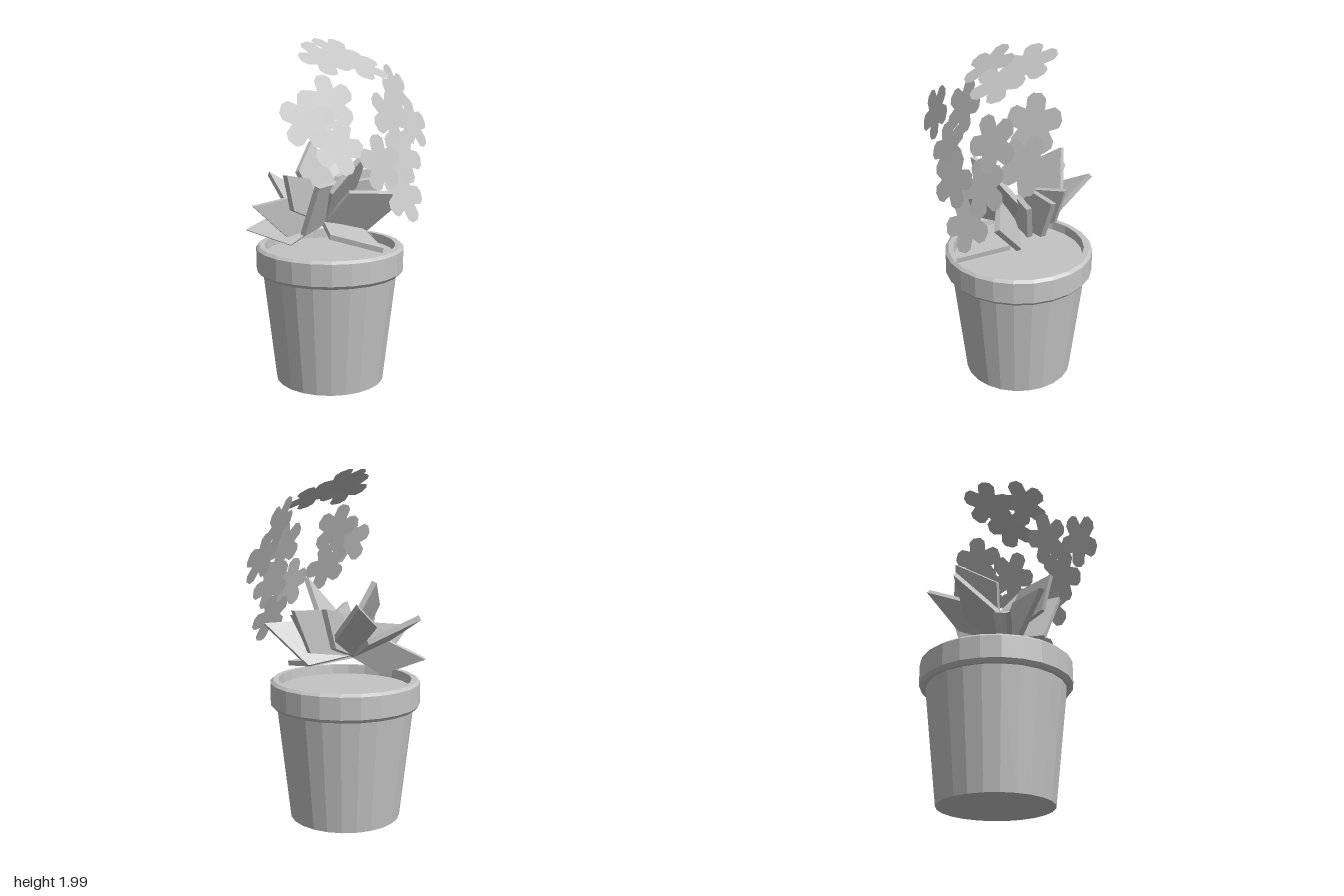
import * as THREE from 'three';

const grey = new THREE.MeshStandardMaterial({ color: 0xc4c4c4, flatShading: true, side: THREE.DoubleSide });
grey.name = 'pale grey';

const CROWN = new THREE.Vector3(-0.02, 0.94, -0.05); // where all leaves meet

function add(parent, geometry, name) {
  const mesh = new THREE.Mesh(geometry, grey);
  mesh.name = name;
  parent.add(mesh);
  return mesh;
}

// Thick kite from the crown to a tip; the second side corner mirrors the first
function leafGeometry(tip, side) {
  const axis = new THREE.Vector3(...tip).sub(CROWN);
  const offset = new THREE.Vector3(...side).sub(CROWN);
  const length = axis.length();
  const dir = axis.normalize();
  const along = offset.dot(dir);
  const across = offset.clone().addScaledVector(dir, -along);
  const half = across.length();
  across.normalize();
  const shape = new THREE.Shape();
  shape.moveTo(0, 0);
  shape.lineTo(along, -half);
  shape.lineTo(length, 0);
  shape.lineTo(along, half);
  shape.closePath();
  const geometry = new THREE.ExtrudeGeometry(shape, { depth: 0.03, bevelEnabled: false });
  geometry.translate(0, 0, -0.015);
  const normal = new THREE.Vector3().crossVectors(dir, across);
  geometry.applyMatrix4(new THREE.Matrix4().makeBasis(dir, across, normal).setPosition(CROWN));
  return geometry;
}

// Flat five-petal outline with blunt petals
function flowerGeometry(radius) {
  const shape = new THREE.Shape();
  const outline = [[-36, 0.6], [-22, 0.92], [-9, 1.03], [9, 1.03], [22, 0.92]];
  for (let p = 0; p < 5; p++) {
    outline.forEach(([deg, r], i) => {
      const a = THREE.MathUtils.degToRad(p * 72 + deg);
      const x = Math.cos(a) * r * radius, y = Math.sin(a) * r * radius;
      if (p === 0 && i === 0) shape.moveTo(x, y);
      else shape.lineTo(x, y);
    });
  }
  shape.closePath();
  return new THREE.ShapeGeometry(shape);
}

export function createModel() {
  const model = new THREE.Group();
  model.name = 'pottedFlowers';

  // Pot with a collar rim and a soil disc
  const pot = new THREE.Group();
  pot.name = 'pot';
  pot.position.set(0.02, 0, -0.032);
  model.add(pot);
  const profile = [[0, 0], [0.32, 0], [0.395, 0.655], [0.415, 0.655], [0.432, 0.675],
    [0.432, 0.8], [0.415, 0.815], [0.383, 0.815], [0.378, 0.76]];
  add(pot, new THREE.LatheGeometry(profile.map(([r, y]) => new THREE.Vector2(r, y)), 24), 'potShell');
  const soil = add(pot, new THREE.CircleGeometry(0.38, 24), 'soil');
  soil.rotation.x = -Math.PI / 2;
  soil.position.y = 0.762;

  // Leaves: tip, then one side corner
  const leaves = new THREE.Group();
  leaves.name = 'leaves';
  model.add(leaves);
  [
    [[-0.06, 1.19, -0.47], [-0.15, 1.03, -0.21]],
    [[-0.345, 0.905, -0.355], [-0.14, 1.03, -0.22]],
    [[-0.44, 1.08, -0.185], [-0.17, 1.12, -0.09]],
    [[-0.365, 1.265, 0], [-0.16, 1.22, -0.03]],
    [[-0.29, 1.21, 0.17], [0, 1.19, 0.05]],
    [[0.28, 1.13, 0.35], [0.02, 1.14, 0.12]],
    [[0.40, 1.24, 0.055], [0.14, 1.22, -0.01]],
    [[0.33, 1.25, -0.1], [0.1, 1.2, -0.05]],
    [[0.315, 1.28, -0.305], [0.04, 1.14, -0.25]],
    [[0.3, 1.2, 0.14], [0.08, 1.18, 0.04]],
    [[0.11, 1.39, -0.28], [-0.11, 1.24, -0.17]],
    [[0.05, 1.38, 0.22], [0.14, 1.14, 0.05]],
    [[-0.01, 0.85, 0.4], [-0.16, 0.91, 0.14]],
  ].forEach(([tip, side]) => add(leaves, leafGeometry(tip, side), 'leaf'));

  // Flowers: x, y, z, facing slope in x and y, turn in degrees
  const flowers = new THREE.Group();
  flowers.name = 'flowers';
  model.add(flowers);
  const flower = flowerGeometry(0.155);
  [
    [-0.41, 1.58, 0.22, -0.3, 0.35, 80],
    [-0.20, 1.655, 0.18, -0.2, 0.45, 95],
    [-0.23, 1.43, 0.27, -0.2, 0.45, 60],
    [-0.12, 1.885, 0.06, -0.2, 1.5, 30],
    [0.09, 1.92, -0.04, 0, 1.75, 50],
    [0.07, 1.845, 0.16, 0, 1.75, 95],
    [0.36, 1.70, 0.17, 0.3, 0.45, 100],
    [0.40, 1.515, 0.26, 0.2, 0.45, 5],
    [0.17, 1.57, 0.28, 0.1, 0.4, 130],
    [0.19, 1.35, 0.365, 0.05, 0.4, 55],
    [-0.03, 1.335, 0.395, 0, 0.3, 90],
    [0.13, 1.145, 0.425, 0.05, 0.45, 65],
  ].forEach(([x, y, z, nx, ny, turn]) => {
    const mesh = add(flowers, flower, 'flower');
    mesh.position.set(x, y, z);
    const normal = new THREE.Vector3(nx, ny, 1).normalize();
    mesh.quaternion.setFromUnitVectors(new THREE.Vector3(0, 0, 1), normal);
    mesh.rotateZ(THREE.MathUtils.degToRad(turn));
  });

  return model;
}
